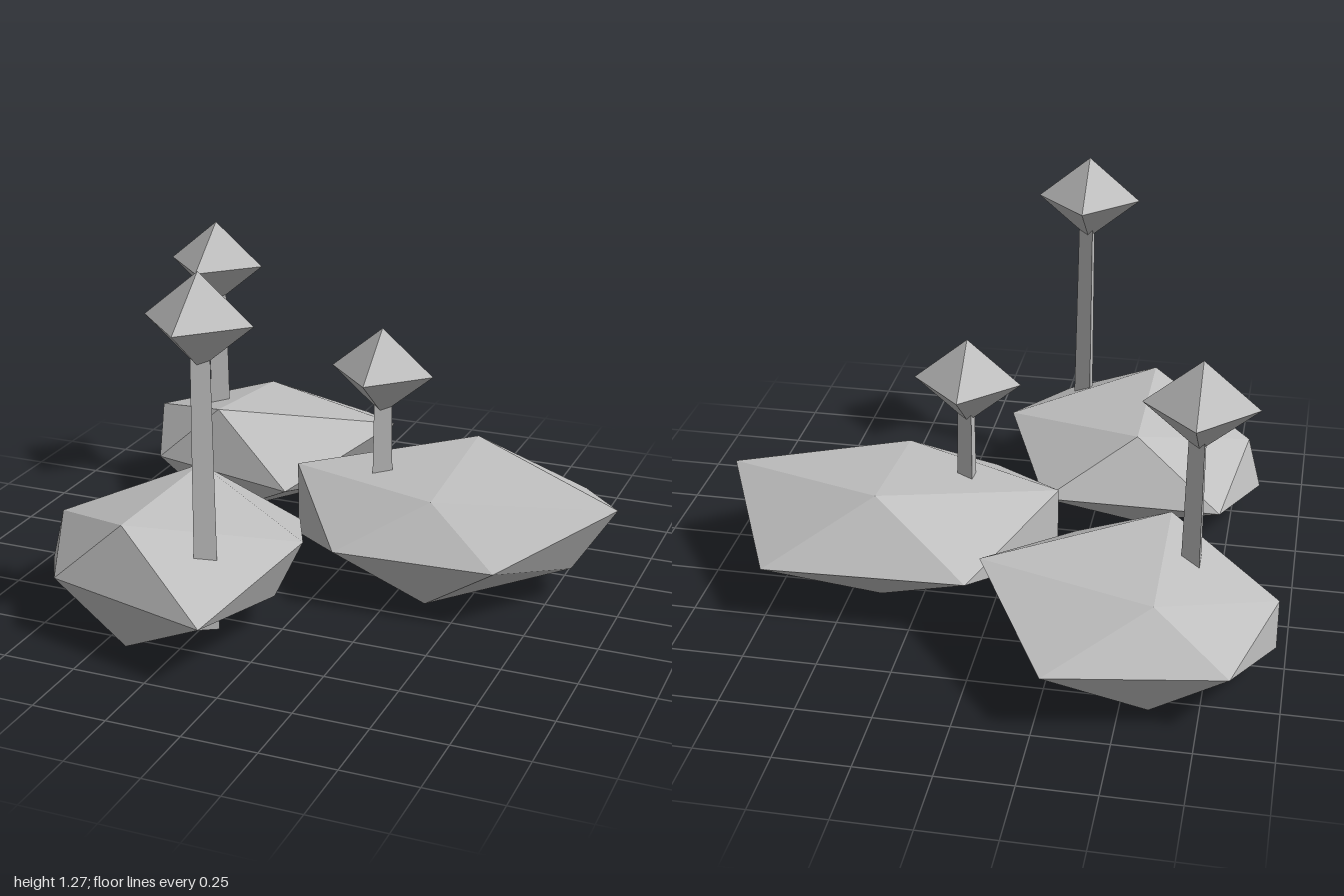
import * as THREE from 'three';

const stone = new THREE.MeshStandardMaterial({ color: 0xc0c0c0, flatShading: true });
stone.name = 'pale grey';

// Flattened icosahedron whose 12 corners are pushed in or out from the centre.
// Factors, four per zero axis: x = 0 (signs of y, z), z = 0 (x, y), y = 0 (x, z),
// each ordered ++, +-, -+, --.
function rockGeometry(factors) {
  const geometry = new THREE.IcosahedronGeometry(1).rotateY(Math.PI / 2);
  const pos = geometry.attributes.position;
  const v = new THREE.Vector3();
  const pick = (group, a, b) => factors[group * 4 + (a < 0 ? 2 : 0) + (b < 0 ? 1 : 0)];
  for (let i = 0; i < pos.count; i++) {
    v.fromBufferAttribute(pos, i);
    let f;
    if (Math.abs(v.x) < 0.1) f = pick(0, v.y, v.z);
    else if (Math.abs(v.z) < 0.1) f = pick(1, v.x, v.y);
    else f = pick(2, v.x, v.z);
    pos.setXYZ(i, v.x * 0.6 * f, v.y * 0.226 * f, v.z * 0.5 * f);
  }
  geometry.computeVertexNormals();
  return geometry;
}

function addMesh(parent, name, geometry, x, y, z) {
  const mesh = new THREE.Mesh(geometry, stone);
  mesh.name = name;
  mesh.position.set(x, y, z);
  parent.add(mesh);
}

// Three-sided tapered stem with an octahedral cap
function makePost(name, x, capY, z) {
  const post = new THREE.Group();
  post.name = name;
  const bottom = 0.095;
  const top = capY - 0.1;
  const stem = new THREE.CylinderGeometry(0.035, 0.045, top - bottom, 3).rotateY(Math.PI / 2);
  addMesh(post, 'stem', stem, x, (top + bottom) / 2, z);
  addMesh(post, 'cap', new THREE.OctahedronGeometry(1).scale(0.183, 0.153, 0.183), x, capY, z);
  return post;
}

export function createModel() {
  const model = new THREE.Group();
  model.name = 'rocksWithPosts';

  // Rocks
  addMesh(model, 'frontRock', rockGeometry([
    1.10, 1.085, 1.11, 0.87,
    0.98, 0.78, 0.745, 0.84,
    1.13, 0.985, 0.75, 0.985]), -0.42, 0.22, 0.51);
  addMesh(model, 'leftRock', rockGeometry([
    0.83, 1.12, 1.0, 0.98,
    1.14, 0.845, 1.12, 1.12,
    0.835, 1.12, 0.905, 1.06]), 0.385, 0.22, -0.075);
  addMesh(model, 'backRock', rockGeometry([
    1.09, 0.82, 1.06, 1.0,
    1.15, 0.88, 0.735, 0.735,
    1.08, 1.01, 0.74, 0.79]), -0.595, 0.22, -0.57);

  // Posts
  model.add(
    makePost('frontPost', -0.16, 1.12, 0.735),
    makePost('leftPost', 0.13, 0.74, -0.07),
    makePost('backPost', -0.69, 0.93, -0.495),
  );
  return model;
}
